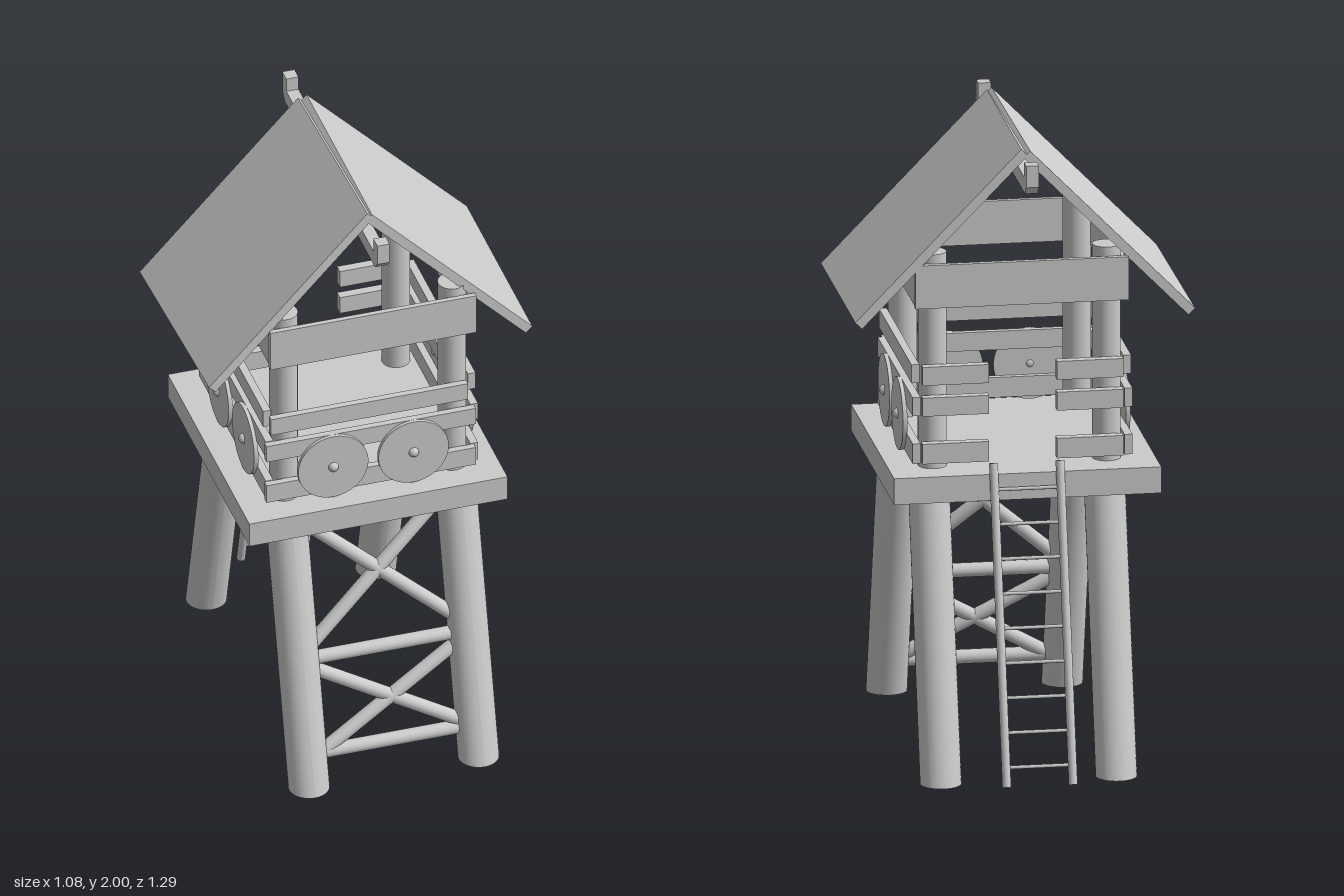
import * as THREE from 'three';

const mat = new THREE.MeshStandardMaterial({ color: 0xcccccc });
const V = (x, y, z) => new THREE.Vector3(x, y, z);

export function createModel() {
  const model = new THREE.Group();
  model.name = 'watchtower';

  const add = (name, geo, parent = model) => {
    const m = new THREE.Mesh(geo, mat);
    m.name = name;
    parent.add(m);
    return m;
  };
  // Box given by its extents on each axis
  const box = (name, x0, x1, y0, y1, z0, z1) => {
    const m = add(name, new THREE.BoxGeometry(x1 - x0, y1 - y0, z1 - z0));
    m.position.set((x0 + x1) / 2, (y0 + y1) / 2, (z0 + z1) / 2);
    return m;
  };
  // Round pole between two points
  const pole = (name, a, b, r, sides = 16) => {
    const d = b.clone().sub(a);
    const m = add(name, new THREE.CylinderGeometry(r, r, d.length(), sides));
    m.position.copy(a).add(b).multiplyScalar(0.5);
    m.quaternion.setFromUnitVectors(V(0, 1, 0), d.normalize());
    return m;
  };

  // Platform
  box('platform', -0.42, 0.425, 0.88, 0.965, -0.375, 0.47);

  // Splayed legs with level ends, made by shearing upright cylinders
  for (const x of [-0.26, 0.295]) {
    for (const [zFoot, zTop] of [[0.58, 0.345], [-0.483, -0.255]]) {
      const geo = new THREE.CylinderGeometry(0.065, 0.065, 0.89, 32).translate(0, 0.445, 0);
      const p = geo.attributes.position;
      for (let i = 0; i < p.count; i++) {
        p.setZ(i, p.getZ(i) + zFoot + (zTop - zFoot) * p.getY(i) / 0.88);
      }
      geo.computeVertexNormals();
      add('leg', geo).position.x = x;
    }
  }

  // Braces between the front legs: [left height, right height]
  for (const [yl, yr] of [[0.86, 0.46], [0.45, 0.87], [0.41, 0.41], [0.38, 0.12], [0.10, 0.38], [0.105, 0.105]]) {
    const z = y => 0.58 - 0.267 * y;
    pole('brace', V(-0.22, yl, z(yl)), V(0.26, yr, z(yr)), 0.023);
  }

  // Ladder at the back
  const ladderZ = y => -0.63 + 0.265 * (y - 0.02);
  for (const x of [-0.1, 0.11]) pole('ladderRail', V(x, 0.02, ladderZ(0.02)), V(x, 1, ladderZ(1)), 0.014);
  for (let i = 0; i < 9; i++) {
    const y = 0.08 + i * 0.105;
    pole('ladderRung', V(-0.1, y, ladderZ(y)), V(0.11, y, ladderZ(y)), 0.006, 8);
  }

  // Corner posts
  for (const x of [-0.268, 0.283]) {
    for (const z of [0.342, -0.238]) pole('post', V(x, 0.95, z), V(x, 1.66, z), 0.045, 24);
  }

  // Wide boards under the roof
  box('frontHeader', -0.33, 0.345, 1.49, 1.63, 0.385, 0.402);
  box('backHeader', -0.33, 0.345, 1.49, 1.63, -0.298, -0.28);
  box('leftHeader', 0.325, 0.342, 1.49, 1.62, -0.28, 0.385);
  box('rightHeader', -0.325, -0.308, 1.49, 1.62, -0.28, 0.385);

  // Railings on all sides, with a doorway at the back
  const levels = [[0.99, 1.055, 0], [1.145, 1.205, 0], [1.245, 1.305, 0.025]];
  for (const [y0, y1, inset] of levels) {
    box('frontRail', -0.345 + inset * 0.6, 0.34 - inset, y0, y1, 0.388, 0.41);
    box('leftRail', 0.33, 0.355, y0, y1, -0.305 + inset, 0.385 - inset);
    box('rightRail', -0.34, -0.315, y0, y1, -0.305 + inset, 0.385 - inset);
    box('backRail', -0.31, -0.1, y0, y1, -0.315, -0.285);
    box('backRail', 0.115, 0.325, y0, y1, -0.315, -0.285);
  }

  // Round shields with a small boss, hung on the front and both sides
  const shield = (x, z, turn) => {
    const g = new THREE.Group();
    g.name = 'shield';
    add('shieldDisc', new THREE.CylinderGeometry(0.115, 0.115, 0.014, 40).rotateX(Math.PI / 2), g);
    const boss = add('shieldBoss', new THREE.SphereGeometry(0.017, 16, 10), g);
    boss.position.z = 0.005;
    g.position.set(x, 1.09, z);
    g.rotation.y = turn;
    model.add(g);
  };
  for (const x of [-0.13, 0.133]) shield(x, 0.415, 0);
  for (const z of [0.19, -0.075]) {
    shield(0.36, z, Math.PI / 2);
    shield(-0.345, z, -Math.PI / 2);
  }

  // Roof slabs; the one on -x sits slightly askew
  const run = 0.525, rise = 0.54, len = Math.hypot(run, rise);
  for (const s of [1, -1]) {
    const geo = new THREE.BoxGeometry(len, 0.03, 0.678);
    if (s < 0) geo.rotateY(0.028);
    const slab = add('roofSlab', geo);
    slab.position.set(s * run / 2, 1.985 - rise / 2, s < 0 ? 0.048 : 0.038);
    slab.rotation.z = -s * Math.atan2(rise, run);
  }

  // Ridge beam with upturned ends
  const outline = [[-0.455, 1.985], [-0.455, 1.915], [-0.43, 1.888], [0.505, 1.888], [0.53, 1.915],
    [0.53, 1.985], [0.488, 1.985], [0.488, 1.938], [-0.413, 1.938], [-0.413, 1.985]];
  const beam = new THREE.ExtrudeGeometry(
    new THREE.Shape(outline.map(([z, y]) => new THREE.Vector2(z, y))),
    { depth: 0.04, bevelEnabled: false });
  add('ridgeBeam', beam.translate(0, 0, -0.02).rotateY(-Math.PI / 2));

  return model;
}
